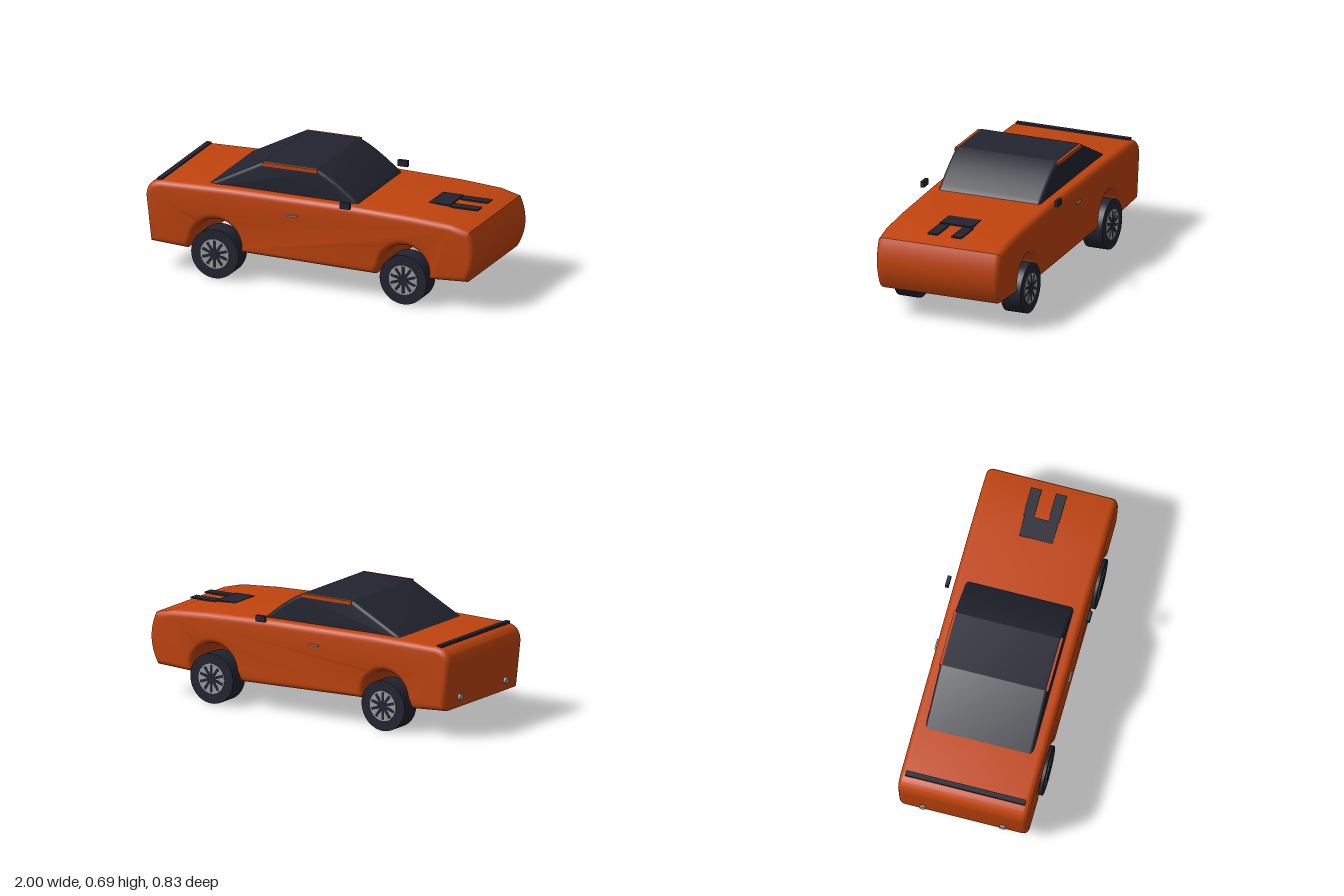
import * as THREE from 'three';
import { toCreasedNormals } from 'three/addons/utils/BufferGeometryUtils.js';

const material = (name, color) => {
  const m = new THREE.MeshStandardMaterial({ color });
  m.name = name;
  return m;
};

export function createModel() {
  const car = new THREE.Group();
  car.name = 'car';
  const orange = material('orangePaint', 0xc1440e);
  const dark = material('darkTrim', 0x222430);
  const grey = material('metalGrey', 0x9a9c9e);

  const add = (parent, name, geometry, mat, x = 0, y = 0, z = 0) => {
    const mesh = new THREE.Mesh(geometry, mat);
    mesh.name = name;
    mesh.position.set(x, y, z);
    parent.add(mesh);
    return mesh;
  };
  const box = (name, mat, w, h, d, x, y, z) =>
    add(car, name, new THREE.BoxGeometry(w, h, d), mat, x, y, z);

  // Side profile extruded across the width, with rounded flanks
  const extrude = (shape, width, bevel, crease) => {
    const g = new THREE.ExtrudeGeometry(shape, {
      depth: width - 2 * bevel, bevelThickness: bevel, bevelSize: bevel,
      bevelOffset: -bevel, bevelSegments: 5, curveSegments: 14,
    });
    g.translate(0, 0, bevel - width / 2);
    return toCreasedNormals(g, crease);
  };

  // Body with wheel arches cut through
  const body = new THREE.Shape();
  body.moveTo(-0.97, 0.16);
  body.lineTo(-1.0, 0.42);
  body.bezierCurveTo(-1.0, 0.48, -0.97, 0.515, -0.91, 0.522);
  body.lineTo(-0.5, 0.53);
  body.lineTo(0.2, 0.525);
  body.lineTo(0.62, 0.512);
  body.lineTo(0.85, 0.495);
  body.lineTo(0.965, 0.466);
  body.bezierCurveTo(1.01, 0.37, 1.01, 0.27, 0.95, 0.17);
  body.lineTo(0.716, 0.158);
  body.lineTo(0.718, 0.19);
  body.absarc(0.57, 0.19, 0.148, 0, Math.PI * 0.97, false);
  body.lineTo(0.395, 0.146);
  body.lineTo(-0.424, 0.163);
  body.lineTo(-0.422, 0.19);
  body.absarc(-0.57, 0.19, 0.148, 0, Math.PI * 0.97, false);
  body.lineTo(-0.745, 0.147);
  body.closePath();
  add(car, 'body', extrude(body, 0.75, 0.035, 0.6), orange);

  // Dark glass cabin
  const cabin = new THREE.Shape();
  cabin.moveTo(-0.67, 0.5);
  cabin.lineTo(-0.64, 0.525);
  cabin.lineTo(-0.31, 0.695);
  cabin.lineTo(0.01, 0.695);
  cabin.quadraticCurveTo(0.12, 0.65, 0.26, 0.53);
  cabin.lineTo(0.28, 0.5);
  cabin.closePath();
  add(car, 'cabin', extrude(cabin, 0.62, 0.02, 0.4), dark);

  // Rear deck lip and hood stripe with two prongs
  box('rearLip', dark, 0.03, 0.02, 0.69, -0.92, 0.521, 0);
  box('hoodStripe', dark, 0.125, 0.009, 0.195, 0.667, 0.511, -0.002);
  for (const z of [-0.076, 0.068])
    box('hoodProng', dark, 0.17, 0.008, 0.062, 0.815, 0.505, z);

  for (const s of [-1, 1]) {
    box('roofRail', orange, 0.33, 0.02, 0.014, -0.145, 0.682, s * 0.307);
    box('mirror', dark, 0.06, 0.036, 0.02, 0.23, 0.539, s * 0.406);
    box('doorHandle', grey, 0.062, 0.009, 0.009, -0.105, 0.426, s * 0.384);
    // Exhaust tips
    const tip = new THREE.CylinderGeometry(0.018, 0.018, 0.03, 20);
    tip.rotateZ(Math.PI / 2);
    add(car, 'exhaustTip', tip, grey, -0.977, 0.22, s * 0.23);
  }

  // Wheel facing +z: tyre, grey rim, dark spokes and hub
  const disc = (r, depth, sides) =>
    new THREE.CylinderGeometry(r, r, depth, sides).rotateX(Math.PI / 2);
  const makeWheel = () => {
    const wheel = new THREE.Group();
    wheel.name = 'wheel';
    add(wheel, 'tyre', disc(0.143, 0.12, 48), dark);
    add(wheel, 'rim', disc(0.086, 0.006, 40), grey, 0, 0, 0.06);
    add(wheel, 'hub', disc(0.03, 0.006, 24), dark, 0, 0, 0.062);
    for (let i = 0; i < 10; i++) {
      const a = (i / 10) * Math.PI * 2 + Math.PI / 10;
      const spoke = add(wheel, 'spoke', new THREE.BoxGeometry(0.056, 0.016, 0.006), dark,
        Math.cos(a) * 0.05, Math.sin(a) * 0.05, 0.0615);
      spoke.rotation.z = a;
    }
    return wheel;
  };
  for (const x of [-0.57, 0.573])
    for (const s of [-1, 1]) {
      const wheel = makeWheel();
      wheel.position.set(x, 0.143, s * 0.325);
      if (s < 0) wheel.rotation.y = Math.PI;
      car.add(wheel);
    }

  return car;
}
